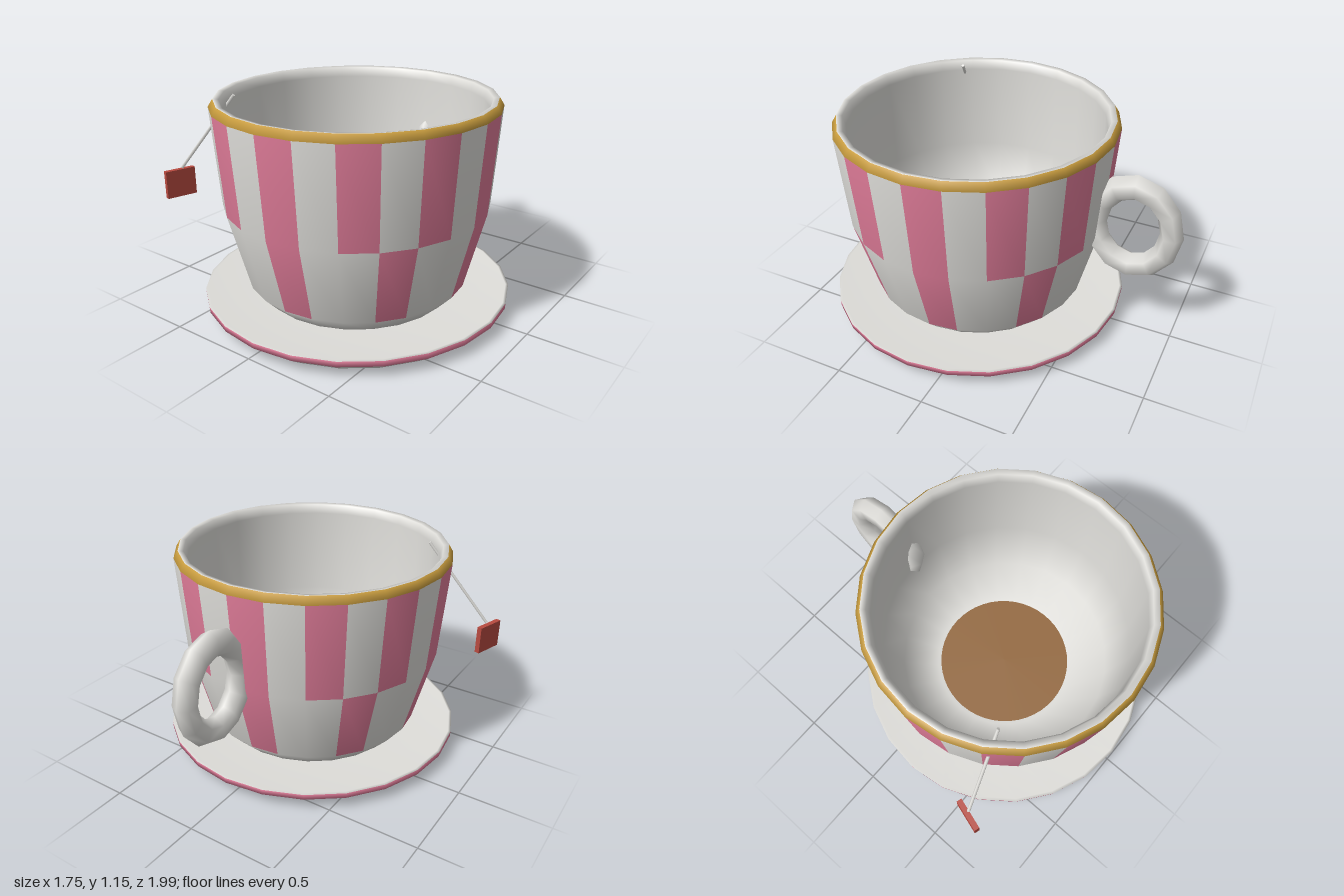
import * as THREE from 'three';

const paint = (name, color) => {
  const m = new THREE.MeshStandardMaterial({ color });
  m.name = name;
  return m;
};

const SIDES = 24;

// Lathe whose every face picks a material index by (side, profile row)
function paintedLathe(profile, pick) {
  const points = profile.map(([r, y]) => new THREE.Vector2(r, y));
  const geo = new THREE.LatheGeometry(points, SIDES);
  const rows = profile.length - 1;
  for (let i = 0; i < SIDES; i++) {
    for (let j = 0; j < rows; j++) geo.addGroup((i * rows + j) * 6, 6, pick(i, j));
  }
  return geo;
}

export function createModel() {
  const white = paint('porcelain white', 0xdfdeda);
  const pink = paint('stripe pink', 0xe07c99);
  const gold = paint('rim gold', 0xc89c3e);
  const tea = paint('tea brown', 0x94693f);
  const red = paint('tag red', 0xb84a40);

  const group = new THREE.Group();
  group.name = 'teacup';
  const add = (name, geo, mat, parent) => {
    const mesh = new THREE.Mesh(geo, mat);
    mesh.name = name;
    parent.add(mesh);
    return mesh;
  };

  // Round parts share one axis
  const round = new THREE.Group();
  round.name = 'cupAndSaucer';
  round.position.set(0.03, 0, 0.155);
  group.add(round);

  // Saucer with a pink edge band
  const saucer = [[0, 0], [0.75, 0], [0.838, 0.066], [0.84, 0.097], [0.825, 0.098], [0.54, 0.075], [0, 0.075]];
  add('saucer', paintedLathe(saucer, (i, j) => (j === 2 ? 1 : 0)), [white, pink], round);

  // Cup: outside, gold rim, then down the inside; two offset rows of stripes
  const cup = [
    [0, 0.07], [0.52, 0.07], [0.605, 0.16], [0.715, 0.585], [0.755, 1.115],
    [0.73, 1.155], [0.70, 1.15], [0.685, 1.1],
    [0.68, 0.6], [0.6, 0.27], [0.4, 0.17], [0, 0.165],
  ];
  const cupPaint = (i, j) => {
    if (j === 2) return i % 3 === 0 ? 1 : 0;
    if (j === 3) return i % 2 === 0 ? 1 : 0;
    return j === 4 ? 2 : 0;
  };
  add('cup', paintedLathe(cup, cupPaint), [white, pink, gold], round);

  // Tea at the bottom of the bowl
  const teaDisc = add('tea', new THREE.CircleGeometry(0.383, 48), tea, round);
  teaDisc.rotation.x = -Math.PI / 2;
  teaDisc.position.y = 0.178;

  // Oval ring handle at the back
  const handle = add('handle', new THREE.TorusGeometry(0.203, 0.062, 6, 12), white, group);
  handle.rotation.y = Math.PI / 2;
  handle.scale.y = 1.17;
  handle.position.set(0.03, 0.676, -0.735);

  // Tea bag string, through the wall and down to the tag
  const top = new THREE.Vector3(-0.49, 1.145, 0.52);
  const end = new THREE.Vector3(-0.825, 0.71, 0.622);
  const dir = end.clone().sub(top);
  const string = add('string', new THREE.CylinderGeometry(0.009, 0.009, dir.length(), 6), white, group);
  string.position.copy(top).add(end).multiplyScalar(0.5);
  string.quaternion.setFromUnitVectors(new THREE.Vector3(0, 1, 0), dir.normalize());

  // Tag
  const tag = add('tag', new THREE.BoxGeometry(0.028, 0.155, 0.168), red, group);
  tag.position.set(-0.84, 0.623, 0.631);
  tag.rotation.y = -0.295;

  return group;
}
